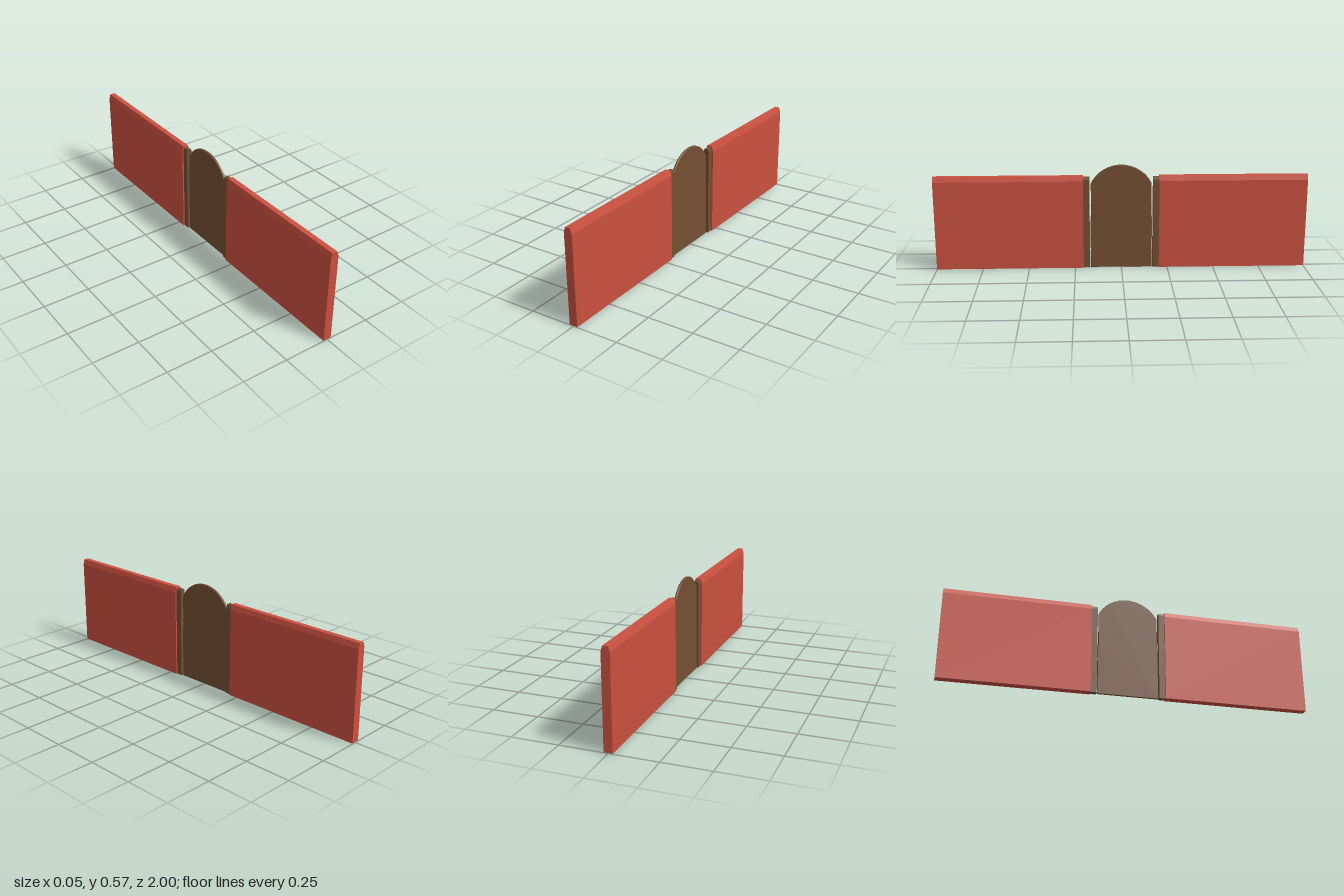
import * as THREE from 'three';

const red = new THREE.MeshStandardMaterial({ color: 0xcc5140, flatShading: true });
const brown = new THREE.MeshStandardMaterial({ color: 0x755033, flatShading: true });

// Upright bar with a chamfered top, running along z from z0 to z1
function chamferedBar(name, material, halfWidth, topHalfWidth, shoulder, height, z0, z1) {
  const shape = new THREE.Shape([
    new THREE.Vector2(-halfWidth, 0.002),
    new THREE.Vector2(halfWidth, 0.002),
    new THREE.Vector2(halfWidth, shoulder),
    new THREE.Vector2(topHalfWidth, height),
    new THREE.Vector2(-topHalfWidth, height),
    new THREE.Vector2(-halfWidth, shoulder),
  ]);
  const geometry = new THREE.ExtrudeGeometry(shape, { depth: z1 - z0, bevelEnabled: false });
  geometry.translate(0, 0, z0);
  const mesh = new THREE.Mesh(geometry, material);
  mesh.name = name;
  return mesh;
}

// Thin door panel with an arched top and a slightly wider lower part
function gatePanel() {
  const half = 0.163, low = 0.166, step = 0.28, corner = 0.468, top = 0.57;
  const rise = top - corner;
  const radius = (half * half + rise * rise) / (2 * rise);
  const angle = Math.asin((radius - rise) / radius);
  const shape = new THREE.Shape();
  shape.moveTo(-low, 0);
  shape.lineTo(low, 0);
  shape.lineTo(low, step);
  shape.lineTo(half, step);
  shape.lineTo(half, corner);
  shape.absarc(0, top - radius, radius, angle, Math.PI - angle, false);
  shape.lineTo(-half, step);
  shape.lineTo(-low, step);
  shape.closePath();
  const geometry = new THREE.ExtrudeGeometry(shape, {
    depth: 0.007, curveSegments: 24, bevelEnabled: true,
    bevelThickness: 0.0025, bevelSize: 0.002, bevelOffset: -0.002, bevelSegments: 1,
  });
  geometry.translate(0, 0, -0.0035);
  geometry.rotateY(Math.PI / 2);
  const mesh = new THREE.Mesh(geometry, brown);
  mesh.name = 'gate';
  return mesh;
}

export function createModel() {
  const model = new THREE.Group();
  model.name = 'wallWithGate';
  // Wall section and gate post on each side of the gate
  for (const [end, s] of [['front', 1], ['back', -1]]) {
    const span = (a, b) => (s > 0 ? [a, b] : [-b, -a]);
    model.add(chamferedBar(end + 'Wall', red, 0.0225, 0.014, 0.485, 0.512, ...span(0.204, 1)));
    model.add(chamferedBar(end + 'Post', brown, 0.015, 0.01, 0.492, 0.505, ...span(0.17, 0.206)));
  }
  model.add(gatePanel());
  return model;
}
